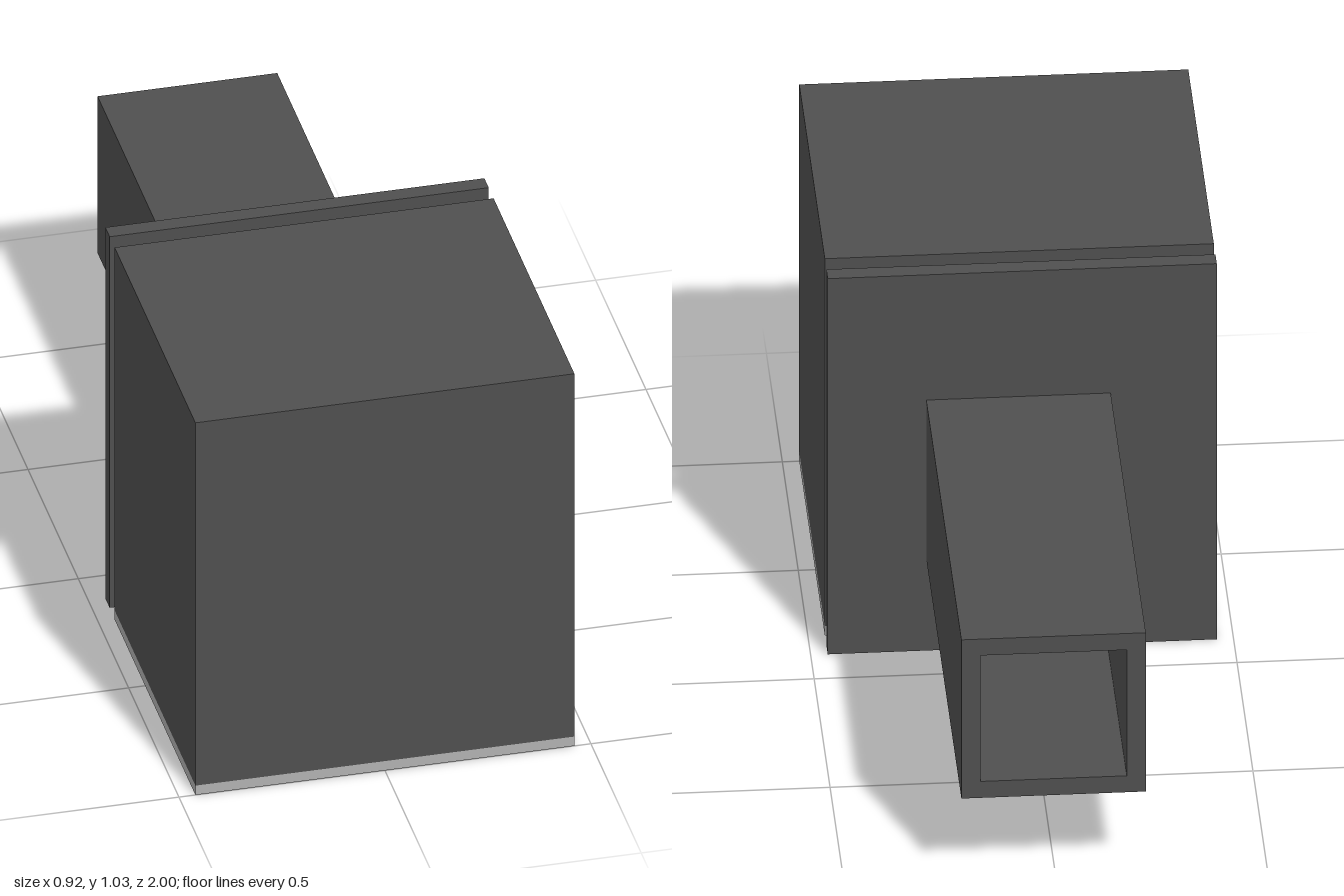
import * as THREE from 'three';

const darkGrey = new THREE.MeshStandardMaterial({ color: 0x4f4f4f });
darkGrey.name = 'dark grey';
const lightGrey = new THREE.MeshStandardMaterial({ color: 0xb0b0b0 });
lightGrey.name = 'light grey';

// Box given by its minimum and maximum corners
function block(name, min, max, material) {
  const size = max.map((v, i) => v - min[i]);
  const mesh = new THREE.Mesh(new THREE.BoxGeometry(...size), material);
  mesh.position.set(...max.map((v, i) => (v + min[i]) / 2));
  mesh.name = name;
  return mesh;
}

function square(PathType, half) {
  const path = new PathType();
  path.moveTo(-half, -half);
  path.lineTo(half, -half);
  path.lineTo(half, half);
  path.lineTo(-half, half);
  path.closePath();
  return path;
}

export function createModel() {
  const model = new THREE.Group();
  model.name = 'boxFixture';

  // Main housing with a pale lens plate underneath
  model.add(block('housing', [-0.46, 0.026, 0.197], [0.46, 1.035, 1], darkGrey));
  model.add(block('lensPlate', [-0.46, 0, 0.197], [0.46, 0.026, 1], lightGrey));

  // Narrow spacer between housing and mounting plate
  model.add(block('spacer', [-0.343, 0.005, 0.148], [0.34, 0.828, 0.197], darkGrey));
  model.add(block('mountingPlate', [-0.46, 0.003, 0.105], [0.46, 1.035, 0.148], darkGrey));

  // Hollow square arm, open at the back
  const section = square(THREE.Shape, 0.218);
  section.holes.push(square(THREE.Path, 0.173));
  const arm = new THREE.Mesh(
    new THREE.ExtrudeGeometry(section, { depth: 1.105, bevelEnabled: false }),
    darkGrey
  );
  arm.position.set(0.009, 0.473, -1);
  arm.name = 'hollowArm';
  model.add(arm);

  return model;
}
